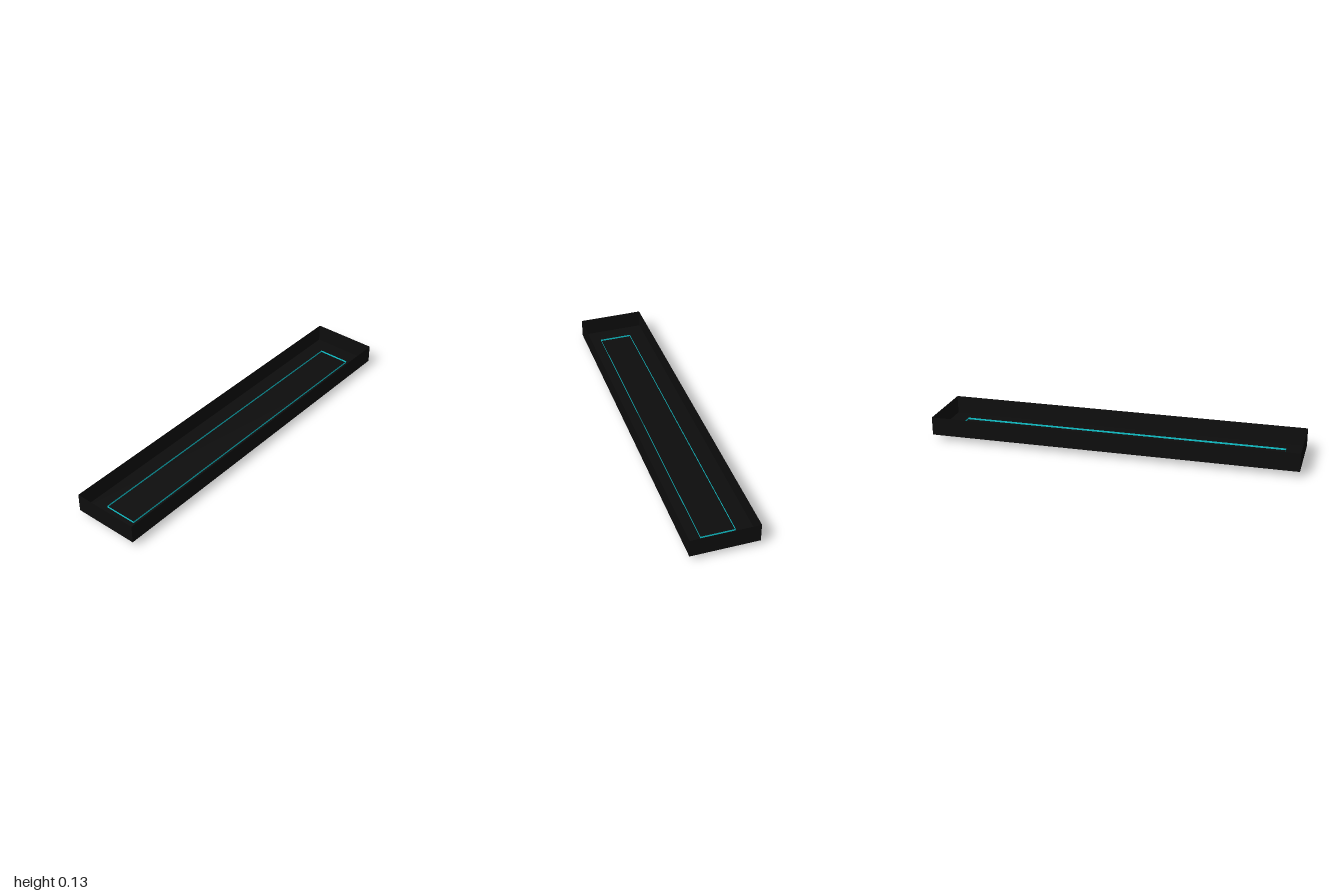
import * as THREE from 'three';

// Box without its top face, standing from y0 to y1
function openTopBox(name, width, depth, y0, y1, color) {
  const geometry = new THREE.BoxGeometry(width, y1 - y0, depth);
  const index = Array.from(geometry.index.array);
  index.splice(12, 6); // the +y face
  geometry.setIndex(index);
  geometry.clearGroups();
  const material = new THREE.MeshStandardMaterial({ color, side: THREE.DoubleSide });
  const mesh = new THREE.Mesh(geometry, material);
  mesh.name = name;
  mesh.position.y = (y0 + y1) / 2;
  return mesh;
}

export function createModel() {
  const group = new THREE.Group();
  group.name = 'ceilingLight';
  // Dark housing, open towards the ceiling
  group.add(openTopBox('housing', 2, 0.36, 0.03, 0.13, 0x0d0d0d));
  // Glowing panel below, its rim reaching just through the housing floor
  group.add(openTopBox('lightPanel', 1.8, 0.18, 0, 0.04, 0x0fc8d0));
  return group;
}
